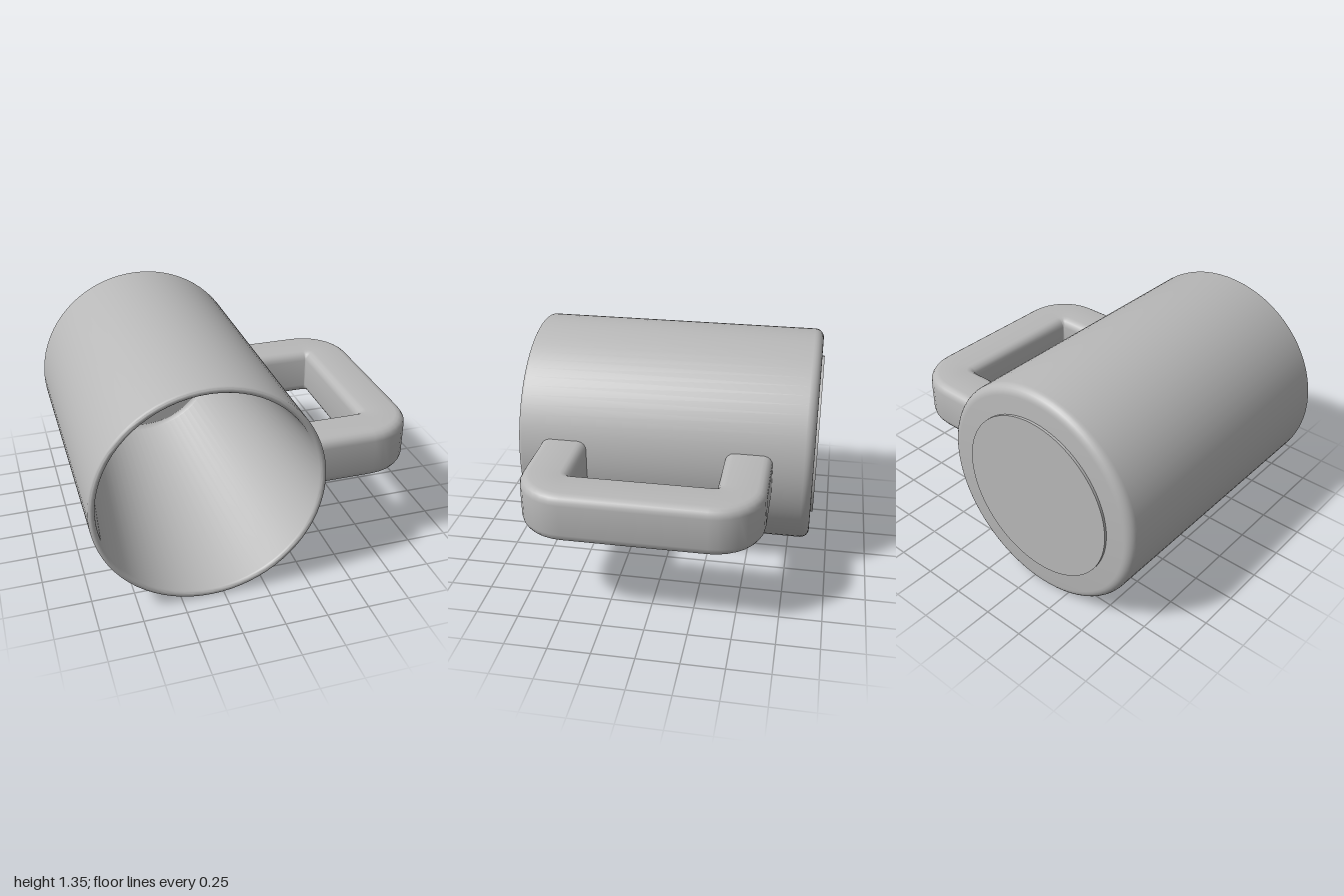
import * as THREE from 'three';
import { toCreasedNormals } from 'three/addons/utils/BufferGeometryUtils.js';

const CX = -0.325, CY = 0.675, R = 0.675;

// Points of a quarter-style arc, from angle a0 to a1 in degrees
function arc(cx, cy, r, a0, a1, steps) {
  return Array.from({ length: steps + 1 }, (_, i) => {
    const a = THREE.MathUtils.degToRad(a0 + (a1 - a0) * i / steps);
    return new THREE.Vector2(cx + r * Math.cos(a), cy + r * Math.sin(a));
  });
}

// Hollow cup: profile runs from the base centre, up the outside, over the rim and down inside
function cupGeometry() {
  const profile = [
    new THREE.Vector2(0, -0.885),
    ...arc(R - 0.055, -0.83, 0.055, -90, 0, 6),
    ...arc(R - 0.02, 0.88, 0.02, 0, 180, 8),
    new THREE.Vector2(0.485, -0.76),
    new THREE.Vector2(0.475, -0.775),
    new THREE.Vector2(0.46, -0.785),
    new THREE.Vector2(0, -0.785),
  ];
  return toCreasedNormals(new THREE.LatheGeometry(profile, 72), 0.5);
}

// Handle: rounded rectangular section swept along a square loop with turned corners
function handleGeometry() {
  const width = 0.283, half = 0.148, fillet = 0.055;
  const corner = (u, v, a) => arc(u, v, fillet, a, a + 90, 4);
  const section = [
    ...corner(width - fillet, half - fillet, 0),
    ...corner(fillet, half - fillet, 90),
    ...corner(fillet, fillet - half, 180),
    ...corner(width - fillet, fillet - half, 270),
  ];
  // Each station is a point on the inner edge and an outward angle in the xz plane
  const inner = 0.705, zFront = 0.465, zBack = -0.355, gap = 0.01;
  const stations = [[0.305, zFront, 90]];
  for (let i = 0; i <= 8; i++) stations.push([inner, zFront, 90 - i * 11.25]);
  for (let i = 0; i <= 8; i++) stations.push([inner, zBack, -i * 11.25]);
  stations.push([0.305, zBack, -90]);

  const positions = [], index = [], n = section.length;
  for (const [x, z, deg] of stations) {
    const a = THREE.MathUtils.degToRad(deg);
    for (const p of section) {
      const s = p.x + gap;
      positions.push(x + Math.cos(a) * s, CY + 0.005 + p.y, z + Math.sin(a) * s);
    }
  }
  for (let i = 0; i < stations.length - 1; i++) {
    for (let j = 0; j < n; j++) {
      const a = i * n + j, b = i * n + (j + 1) % n;
      index.push(a, a + n, b, b, a + n, b + n);
    }
  }
  const geometry = new THREE.BufferGeometry();
  geometry.setAttribute('position', new THREE.Float32BufferAttribute(positions, 3));
  geometry.setIndex(index);
  // Keep the winding facing outward
  const p = (k) => new THREE.Vector3().fromArray(positions, k * 3);
  const normal = new THREE.Triangle(p(0), p(n), p(1)).getNormal(new THREE.Vector3());
  if (normal.z < 0) geometry.setIndex(index.reverse());
  return toCreasedNormals(geometry, 0.5);
}

export function createModel() {
  const group = new THREE.Group();
  group.name = 'mug';
  const grey = new THREE.MeshStandardMaterial({ color: 0xb8b8b8 });
  grey.name = 'grey ceramic';

  const add = (name, geometry) => {
    const mesh = new THREE.Mesh(geometry, grey);
    mesh.name = name;
    group.add(mesh);
    return mesh;
  };

  // Cup lying on its side, open toward the front
  const cup = add('cup', cupGeometry());
  cup.rotation.x = Math.PI / 2;
  cup.position.set(CX, CY, 0);

  // Thin raised disc under the base
  const disc = add('baseDisc', new THREE.CylinderGeometry(0.505, 0.505, 0.03, 72));
  disc.rotation.x = Math.PI / 2;
  disc.position.set(CX, CY, -0.885);

  add('handle', handleGeometry());
  return group;
}
